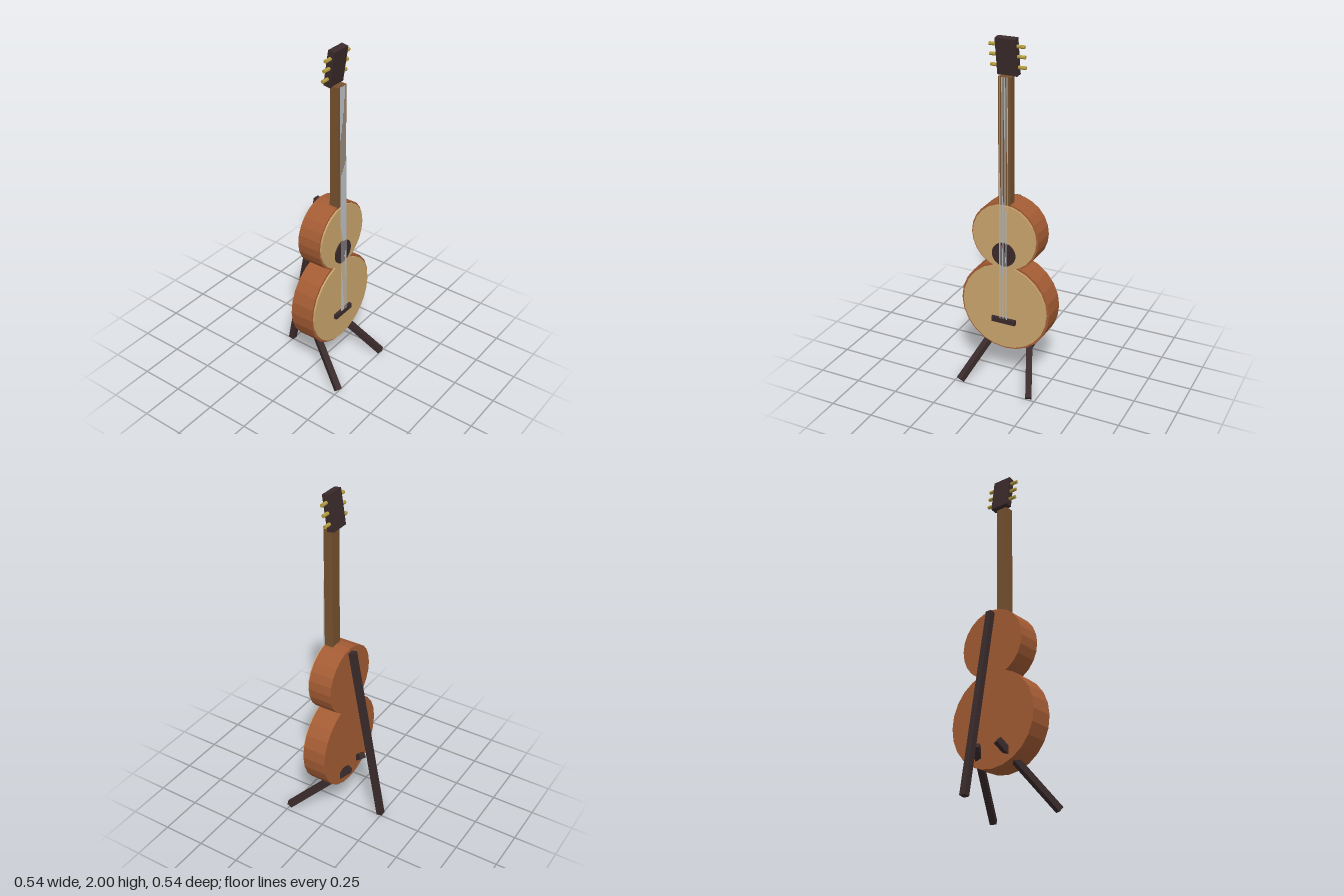
import * as THREE from 'three';

const mat = (name, color) => {
  const m = new THREE.MeshStandardMaterial({ color, flatShading: true });
  m.name = name;
  return m;
};

export function createModel() {
  const wood = mat('body wood', 0xa45c34);
  const spruce = mat('soundboard wood', 0xcaa46c);
  const neckWood = mat('neck wood', 0x76512f);
  const dark = mat('dark wood', 0x3a2a2b);
  const brass = mat('brass', 0xb59c40);
  const steel = mat('steel', 0xb8bcc0);

  const model = new THREE.Group();
  model.name = 'guitarOnStand';

  const add = (name, geometry, material, x, y, z, parent = model) => {
    const mesh = new THREE.Mesh(geometry, material);
    mesh.name = name;
    mesh.position.set(x, y, z);
    parent.add(mesh);
    return mesh;
  };
  // Disc facing +z, spanning z0 to z1
  const disc = (name, material, r, y, z0, z1) =>
    add(name, new THREE.CylinderGeometry(r, r, z1 - z0, 24).rotateX(Math.PI / 2),
      material, 0, y, (z0 + z1) / 2);
  // Square bar running between two points
  const bar = (name, a, b, t, material) => {
    const from = new THREE.Vector3(...a), to = new THREE.Vector3(...b);
    const mesh = add(name, new THREE.BoxGeometry(t, t, from.distanceTo(to)),
      material, 0, 0, 0);
    mesh.position.copy(from).add(to).multiplyScalar(0.5);
    mesh.lookAt(to);
    return mesh;
  };

  // Body: two overlapping bouts, each with a slightly smaller soundboard
  disc('lowerBout', wood, 0.27, 0.475, -0.035, 0.105);
  disc('upperBout', wood, 0.2, 0.905, -0.035, 0.105);
  disc('lowerSoundboard', spruce, 0.257, 0.475, 0.1, 0.115);
  disc('upperSoundboard', spruce, 0.19, 0.905, 0.1, 0.115);
  disc('soundHole', dark, 0.07, 0.805, 0.11, 0.1235);
  add('bridge', new THREE.BoxGeometry(0.145, 0.03, 0.023), dark, 0, 0.393, 0.1215);

  // Neck
  add('neck', new THREE.BoxGeometry(0.07, 0.72, 0.052), neckWood, 0, 1.44, 0.08);

  // Tilted headstock with pegs running through it
  const head = new THREE.Group();
  head.name = 'headstock';
  head.position.set(0, 1.899, 0.063);
  head.rotation.x = 0.15;
  model.add(head);
  add('headBlock', new THREE.BoxGeometry(0.114, 0.198, 0.04), dark, 0, 0, 0, head);
  for (const y of [-0.055, 0.003, 0.058])
    add('tuningPeg', new THREE.CylinderGeometry(0.01, 0.01, 0.2, 8).rotateZ(Math.PI / 2),
      brass, 0, y, 0, head);

  // Six strings from bridge to nut
  for (let i = 0; i < 6; i++) {
    const x = (i - 2.5) * 0.009;
    bar('string', [x, 0.4, 0.131], [x, 1.8, 0.1085], 0.003, steel);
  }

  // Stand: one rear strut and two splayed front legs
  bar('rearStrut', [0, 1.087, -0.05], [0, 0.0175, -0.25], 0.035, dark);
  for (const s of [-1, 1])
    bar('frontLeg', [s * 0.07, 0.333, -0.078], [s * 0.216, 0.0145, 0.252], 0.035, dark);

  return model;
}
